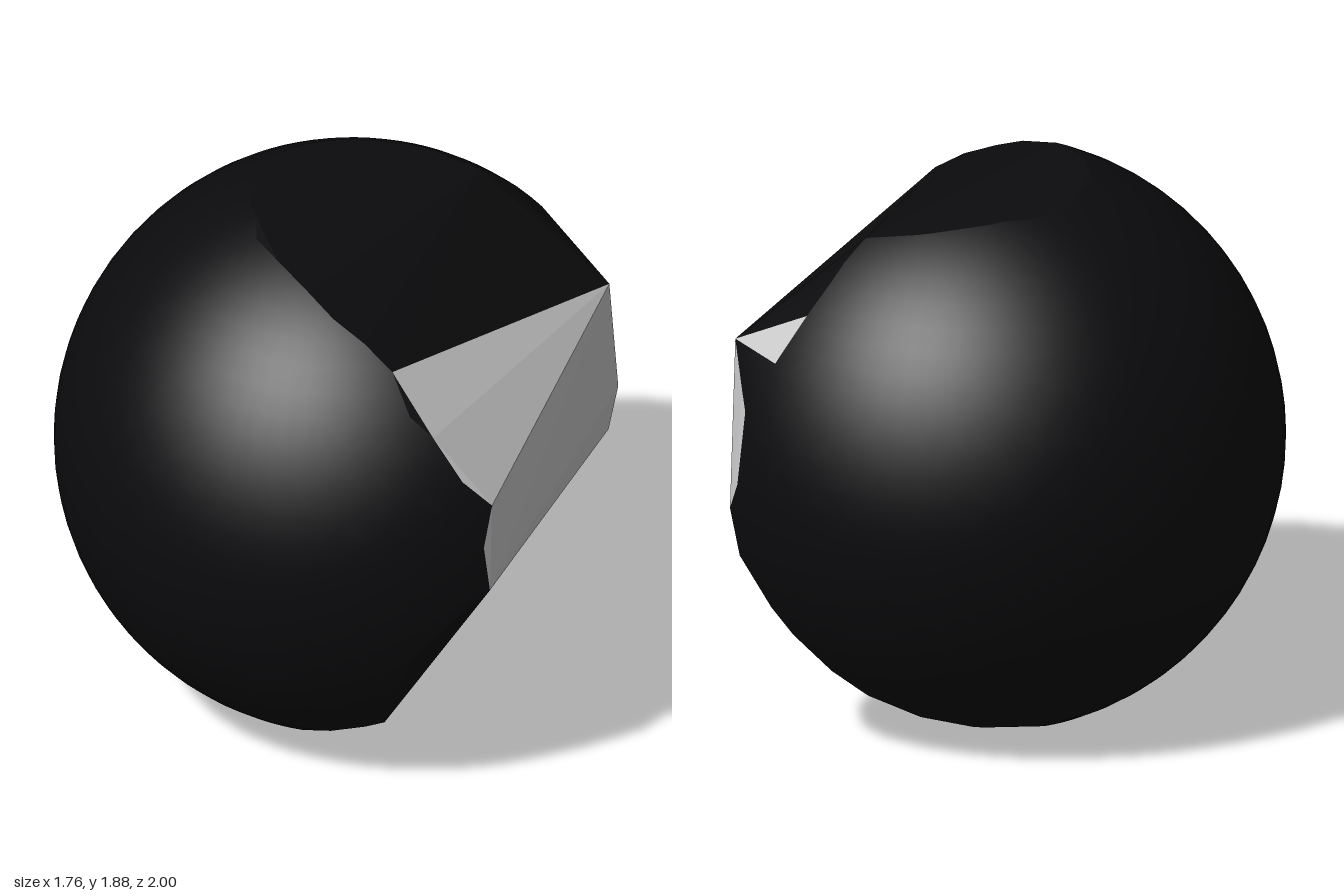
import * as THREE from 'three';
import { ConvexGeometry } from 'three/addons/geometries/ConvexGeometry.js';

// Unit ball with one side broken away
const CENTRE = new THREE.Vector3(0.115, 0.925, 0);

// Point on the ball nearest to a model position
const onBall = (x, y, z) => new THREE.Vector3(x, y, z).sub(CENTRE).normalize();
// Point on the +x half of the ball, given z and y
const onSide = ([z, y]) => {
  const dy = y - CENTRE.y;
  return new THREE.Vector3(Math.sqrt(Math.max(0, 1 - dy * dy - z * z)), dy, z).normalize();
};

// Rim of the pale broken face: front edge (downwards), back edge (upwards), and its peak
const frontEdge = [[0.64, 1.62], [0.71, 1.43], [0.72, 1.28], [0.68, 1.18], [0.73, 1.04], [0.72, 0.87], [0.83, 0.56], [0.67, 0.25]].map(onSide);
const backEdge = [[-0.69, 0.41], [-0.67, 0.67], [-0.71, 0.8], [-0.68, 0.84], [-0.72, 0.94], [-0.69, 1.19], [-0.64, 1.25], [-0.69, 1.37], [-0.64, 1.53]].map(onSide);
const peak = onSide([-0.48, 1.37]);

// Rims of the dark slanted facets below and above
const lowerRim = [[0.11, 0.1, 0.58], [-0.06, 0.08, 0.5], [-0.28, 0, 0], [-0.14, 0.04, -0.38], [0.05, 0.06, -0.5], [0.38, 0.19, -0.62]].map((p) => onBall(...p));
const upperRim = [[0.43, 1.76, -0.46], [0.2, 1.8, -0.48], [0, 1.83, -0.42], [-0.23, 1.85, -0.2], [-0.25, 1.86, 0], [-0.13, 1.85, 0.31], [0.11, 1.79, 0.5]].map((p) => onBall(...p));
const rim = [...frontEdge, ...lowerRim, ...backEdge, ...upperRim];

// Flatten the ball about +x to test whether a point lies in the broken area
const flatten = (p) => [p.y / (1 + p.x), p.z / (1 + p.x)];
const outline = rim.map(flatten);
function isBroken(p) {
  if (p.x < -0.9) return false;
  const [u, v] = flatten(p);
  let inside = false;
  outline.forEach(([u1, v1], i) => {
    const [u2, v2] = outline[(i + 1) % outline.length];
    if (v1 > v !== v2 > v && u < ((u2 - u1) * (v - v1)) / (v2 - v1) + u1) inside = !inside;
  });
  return inside;
}

export function createModel() {
  const group = new THREE.Group();
  group.name = 'brokenBall';

  // Intact ball points plus the rim
  const points = [...rim, peak];
  const rows = 36, columns = 72;
  for (let i = 0; i <= rows; i++) {
    const t = (Math.PI * i) / rows;
    const count = i === 0 || i === rows ? 1 : columns;
    for (let j = 0; j < count; j++) {
      const a = (2 * Math.PI * j) / columns;
      const p = new THREE.Vector3(Math.sin(t) * Math.cos(a), Math.cos(t), Math.sin(t) * Math.sin(a));
      if (!isBroken(p)) points.push(p);
    }
  }
  const hull = new ConvexGeometry(points);

  // Sort the faces into smooth shell, dark facets and pale broken face
  const near = (list, p) => list.some((q) => q.distanceToSquared(p) < 1e-8);
  const pale = [...frontEdge, ...backEdge, peak];
  const cut = [...rim, peak];
  const parts = { shell: [], darkFacets: [], brokenFace: [] };
  const normals = { shell: [], darkFacets: [], brokenFace: [] };
  const pos = hull.attributes.position;
  const normal = new THREE.Vector3();
  for (let i = 0; i < pos.count; i += 3) {
    const face = [0, 1, 2].map((k) => new THREE.Vector3().fromBufferAttribute(pos, i + k));
    const name = face.every((p) => near(pale, p)) ? 'brokenFace'
      : face.every((p) => near(cut, p)) ? 'darkFacets' : 'shell';
    new THREE.Triangle(...face).getNormal(normal);
    // Large or tilted faces stay flat; the ball surface is smooth
    const smooth = name === 'shell' && face.every((p) => p.dot(normal) > 0.985);
    for (const p of face) {
      parts[name].push(p.x, p.y, p.z);
      normals[name].push(...(smooth ? p : normal).toArray());
    }
  }

  const colors = { shell: 0x0b0b0e, darkFacets: 0x0c0c0c, brokenFace: 0xcccccc };
  for (const name of Object.keys(parts)) {
    const geometry = new THREE.BufferGeometry();
    geometry.setAttribute('position', new THREE.Float32BufferAttribute(parts[name], 3));
    geometry.setAttribute('normal', new THREE.Float32BufferAttribute(normals[name], 3));
    const mesh = new THREE.Mesh(geometry, new THREE.MeshStandardMaterial({ color: colors[name] }));
    mesh.name = name;
    mesh.position.copy(CENTRE);
    group.add(mesh);
  }
  return group;
}
